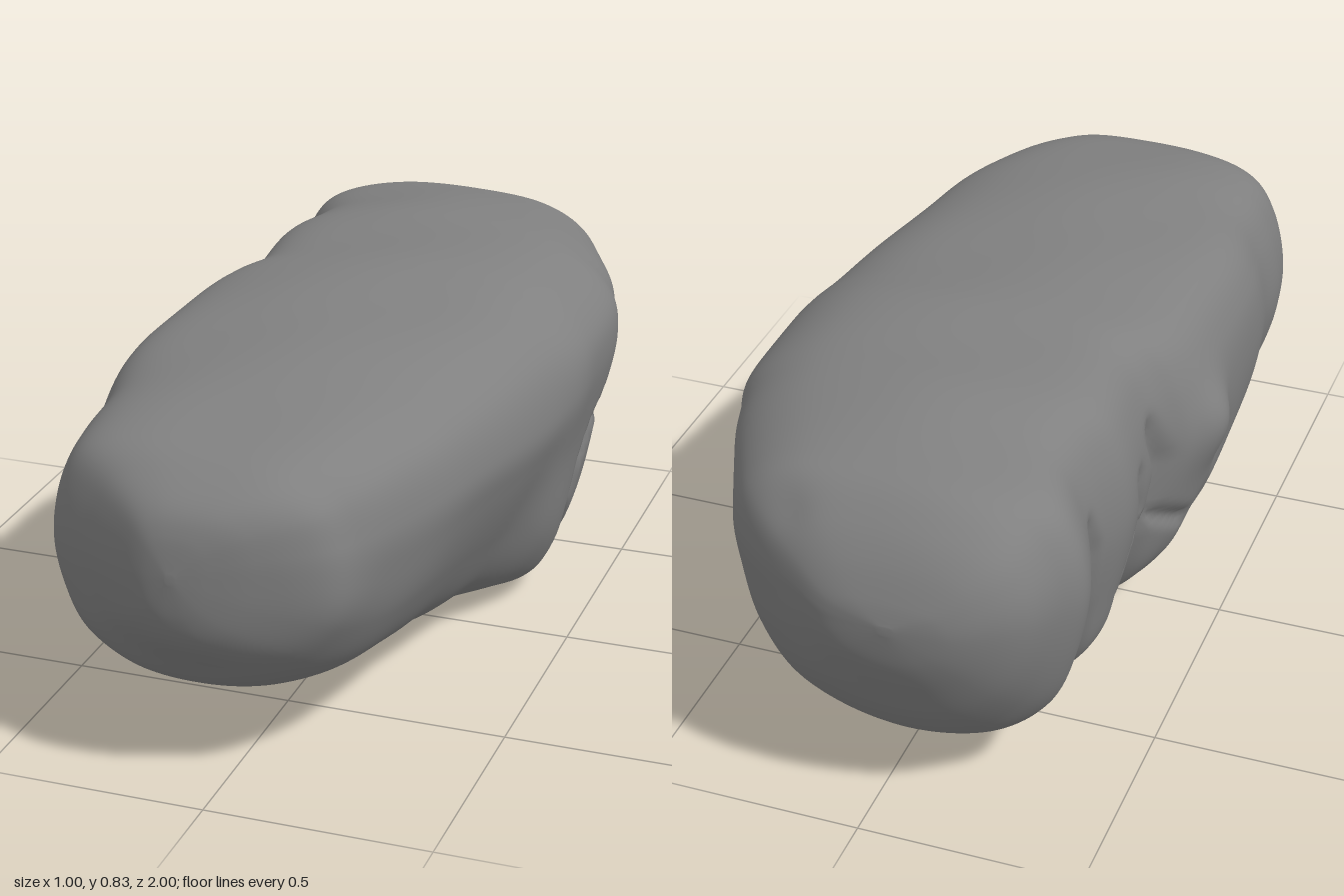
import * as THREE from 'three';

// Stations along the boulder: z, xMin, xMax, yMin, yMax
const STATIONS = [
  [-1, -.09, -.06, .53, .55], [-.985, -.2, .06, .44, .6], [-.95, -.28, .15, .35, .67], [-.9, -.34, .24, .25, .73],
  [-.83, -.38, .32, .16, .78], [-.74, -.42, .37, .1, .8], [-.6, -.38, .43, .06, .82],
  [-.5, -.385, .46, .03, .83], [-.4, -.41, .49, .03, .83], [-.2, -.39, .5, .02, .83],
  [-.1, -.435, .5, .01, .825], [0, -.46, .485, 0, .82], [.2, -.465, .455, .02, .815],
  [.4, -.46, .42, .08, .805], [.56, -.435, .39, .13, .79], [.7, -.43, .34, .15, .77],
  [.82, -.395, .285, .2, .745], [.9, -.285, .23, .28, .71], [.96, -.19, .11, .35, .665],
  [.988, -.13, .02, .42, .61], [1, -.07, -.05, .51, .53],
];

// Cross-section outlines, anticlockwise from below: u is -1..1, v is 0..1
const MIDDLE = [[-.1, 0], [.3, .06], [.6, .17], [.8, .36], [.95, .56], [1, .7], [.9, .86], [.6, .96],
  [.1, 1], [-.4, .99], [-.79, .94], [-.96, .81], [-1, .62], [-.95, .4], [-.82, .22], [-.58, .07]];
const REAR = [[-.1, .02], [.3, 0], [.6, .01], [.76, .13], [.88, .42], [1, .7], [.93, .85], [.62, .96],
  [.1, 1], [-.4, .99], [-.77, .94], [-.94, .81], [-1, .6], [-.93, .36], [-.82, .17], [-.55, .05]];
const TAIL = [[-.1, 0], [.33, .04], [.68, .15], [.89, .34], [.98, .55], [1, .71], [.9, .87], [.6, .97],
  [.1, 1], [-.4, .99], [-.76, .93], [-.94, .8], [-1, .62], [-.92, .39], [-.75, .2], [-.46, .05]];
const NOSE = [[-.1, 0], [.33, .03], [.68, .14], [.89, .33], [.98, .53], [1, .7], [.9, .87], [.6, .97],
  [.1, 1], [-.4, .99], [-.75, .92], [-.92, .77], [-1, .54], [-.95, .33], [-.81, .15], [-.5, .03]];

// Cracks: side, depth, width, then a path of [z, y]
const CRACKS = [
  [1, .04, .02, [[-.24, .02], [-.33, .1], [-.28, .2], [-.29, .3], [-.33, .4], [-.42, .44], [-.53, .53]]],
  [1, .025, .018, [[-.29, .3], [-.38, .41], [-.47, .4], [-.55, .42]]],
  [-1, .03, .025, [[-.17, .08], [-.2, .3], [-.17, .5], [-.21, .6]]],
  [-1, .025, .022, [[-.32, .1], [-.36, .3], [-.3, .45], [-.32, .55]]],
  [-1, .025, .022, [[-.5, .12], [-.54, .35], [-.55, .5], [-.58, .58]]],
  [-1, .02, .02, [[-.36, .3], [-.26, .38], [-.18, .36], [-.05, .28]]],
];

// Soft swellings (or dents): x, y, z, radius, height
const LUMPS = [
  [.36, .22, -.06, .15, .02], [.41, .28, -.48, .15, .01], [-.47, .52, -.01, .09, .04],
  [.22, .45, .86, .1, .015], [.2, .62, .86, .09, -.015], [.2, .74, -.92, .06, -.02],
  [-.28, .2, .3, .12, .015], [-.4, .25, .05, .06, -.015], [-.43, .36, .14, .06, -.012],
];

const RINGS = 220, SIDES = 160;
const { smoothstep, lerp, clamp } = THREE.MathUtils;

function catmull(a, b, c, d, t) {
  return .5 * (2 * b + (c - a) * t + (2 * a - 5 * b + 4 * c - d) * t * t + (3 * b - a - 3 * c + d) * t ** 3);
}

function sampleStation(t) {
  const last = STATIONS.length - 1, f = t * last, i = Math.min(Math.floor(f), last - 1);
  const at = k => STATIONS[clamp(k, 0, last)];
  return STATIONS[0].map((_, k) => catmull(at(i - 1)[k], at(i)[k], at(i + 1)[k], at(i + 2)[k], f - i));
}

// Outline at depth z, blended from tail to nose
function outlineAt(z) {
  const toRear = smoothstep(z, -.88, -.55), toMiddle = smoothstep(z, -.26, .1), toNose = smoothstep(z, .25, .75);
  return TAIL.map((tail, j) => tail.map((value, k) =>
    lerp(lerp(lerp(value, REAR[j][k], toRear), MIDDLE[j][k], toMiddle), NOSE[j][k], toNose)));
}

function sampleOutline(points, t) {
  const n = points.length, f = t * n, i = Math.floor(f);
  const at = k => points[(k + n) % n];
  return [0, 1].map(k => catmull(at(i - 1)[k], at(i)[k], at(i + 1)[k], at(i + 2)[k], f - i));
}

function pathDistance(path, z, y) {
  let best = Infinity;
  for (let i = 0; i < path.length - 1; i++) {
    const [az, ay] = path[i], dz = path[i + 1][0] - az, dy = path[i + 1][1] - ay;
    const t = clamp(((z - az) * dz + (y - ay) * dy) / (dz * dz + dy * dy), 0, 1);
    best = Math.min(best, Math.hypot(z - az - t * dz, y - ay - t * dy));
  }
  return best;
}

// Outward push at a surface point from lumps, cracks and gentle undulation
function relief(x, y, z) {
  let push = .004 * Math.sin(9 * z + 5 * y) * Math.sin(11 * x + 3 * z);
  for (const [lx, ly, lz, r, h] of LUMPS) {
    push += h * Math.exp(-((x - lx) ** 2 + (y - ly) ** 2 + (z - lz) ** 2) / (r * r));
  }
  let cut = 0;
  for (const [side, depth, width, path] of CRACKS) {
    const d = pathDistance(path, z, y) / width;
    cut = Math.max(cut, depth * smoothstep(x * side, .08, .28) * Math.exp(-d * d));
  }
  return push - cut;
}

function boulderGeometry() {
  const positions = [], index = [];
  for (let i = 0; i <= RINGS; i++) {
    const [z, x0, x1, y0, y1] = sampleStation(i / RINGS);
    const outline = outlineAt(z), cx = (x0 + x1) / 2, cy = (y0 + y1) / 2;
    for (let j = 0; j < SIDES; j++) {
      const [u, v] = sampleOutline(outline, j / SIDES);
      const x = cx + u * (x1 - x0) / 2, y = y0 + v * (y1 - y0);
      const r = Math.hypot(x - cx, y - cy), push = relief(x, y, z) * Math.min(1, r / .2);
      positions.push(x + push * (x - cx) / r, Math.max(0, y + push * (y - cy) / r), z);
    }
  }
  for (let i = 0; i < RINGS; i++) {
    for (let j = 0; j < SIDES; j++) {
      const k = (j + 1) % SIDES, a = i * SIDES + j, b = i * SIDES + k;
      index.push(a, b, b + SIDES, a, b + SIDES, a + SIDES);
    }
  }
  // Close both tips with a fan
  for (const [ring, flip] of [[0, true], [RINGS, false]]) {
    const [z, x0, x1, y0, y1] = sampleStation(ring / RINGS);
    const centre = positions.length / 3, base = ring * SIDES;
    positions.push((x0 + x1) / 2, (y0 + y1) / 2, z);
    for (let j = 0; j < SIDES; j++) {
      const p = base + j, q = base + (j + 1) % SIDES;
      index.push(centre, flip ? q : p, flip ? p : q);
    }
  }
  const geometry = new THREE.BufferGeometry();
  geometry.setAttribute('position', new THREE.Float32BufferAttribute(positions, 3));
  geometry.setIndex(index);
  geometry.computeVertexNormals();
  return geometry;
}

export function createModel() {
  const group = new THREE.Group();
  group.name = 'rock';
  const boulder = new THREE.Mesh(boulderGeometry(), new THREE.MeshStandardMaterial({ color: 0x808080 }));
  boulder.name = 'boulder';
  group.add(boulder);
  return group;
}
